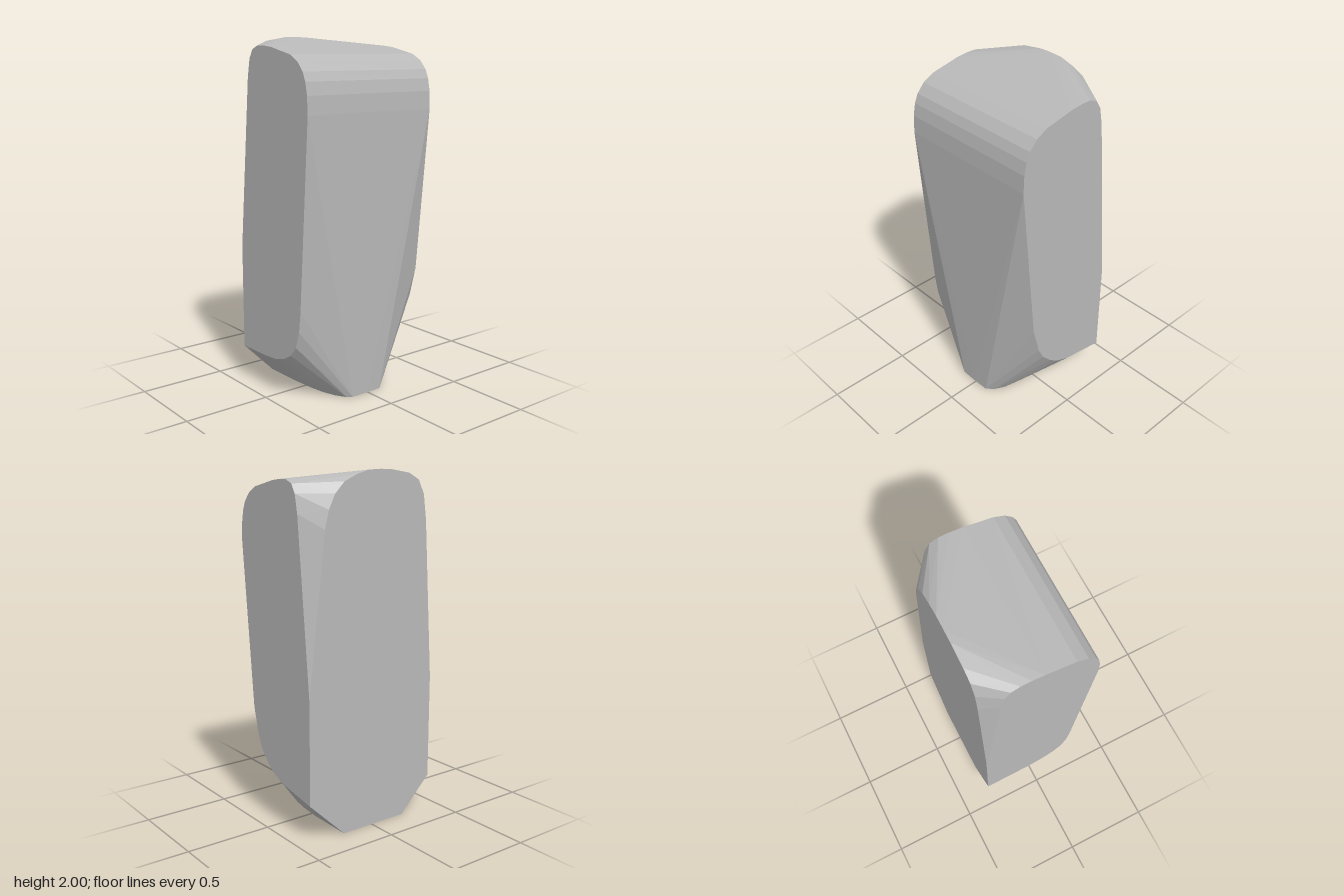
import * as THREE from 'three';
import { ConvexGeometry } from 'three/addons/geometries/ConvexGeometry.js';

export function createModel() {
  const group = new THREE.Group();
  group.name = 'facetedStone';
  const stoneGrey = new THREE.MeshStandardMaterial({ color: 0xb8b8b8 });
  stoneGrey.name = 'stoneGrey';

  const W = 0.325, D = 0.43;

  // Rounded upper outline shared by the front and back faces (x, y)
  const upper = [
    [0.32, 1.6], [0.316, 1.7], [0.302, 1.77], [0.28, 1.82], [0.235, 1.87], [0.17, 1.905],
    [0, 1.942], [-0.07, 1.95], [-0.13, 1.95], [-0.18, 1.93], [-0.21, 1.88], [-0.23, 1.78], [-W, 0.81],
  ];
  // Lower outlines; the back corner is rounded more widely
  const frontLower = [
    [-W, 0.2], [-0.1, 0.205], [0, 0.213], [0.08, 0.235], [0.15, 0.275], [0.2, 0.335], [0.23, 0.43], [0.245, 0.55],
  ];
  const backLower = [
    [-W, 0.22], [-0.06, 0.265], [0.03, 0.3], [0.09, 0.345], [0.15, 0.41], [0.185, 0.48], [0.23, 0.65],
  ];
  // Base outline (x, z)
  const base = [
    [-W, 0.23], [-0.1, 0.225], [0.04, 0.215], [0.14, 0.2], [0.22, 0.175], [0.28, 0.14], [0.3, 0.11],
    [0.302, 0.01], [0.3, -0.09], [0.26, -0.13], [0.2, -0.16], [0.1, -0.18], [-0.05, -0.195], [-W, -0.2],
  ];
  // Arched top of the flat -x side (z, y)
  const sideArch = [
    [0.37, 1.72], [0.35, 1.86], [0.31, 1.94], [0.24, 1.977], [0.11, 1.998], [0.04, 2],
    [-0.04, 1.997], [-0.12, 1.975], [-0.2, 1.94], [-0.26, 1.88], [-0.3, 1.8], [-0.325, 1.7],
  ];

  const v = (x, y, z) => new THREE.Vector3(x, y, z);
  const points = [
    ...[...frontLower, ...upper].map(([x, y]) => v(x, y, D)),
    ...[...backLower, ...upper].map(([x, y]) => v(x, y, -D)),
    ...base.map(([x, z]) => v(x, 0, z)),
    ...sideArch.map(([z, y]) => v(-W, y, z)),
  ];

  // Flat faces joined by straight facets
  const stone = new THREE.Mesh(new ConvexGeometry(points), stoneGrey);
  stone.name = 'stoneBody';
  group.add(stone);
  return group;
}
